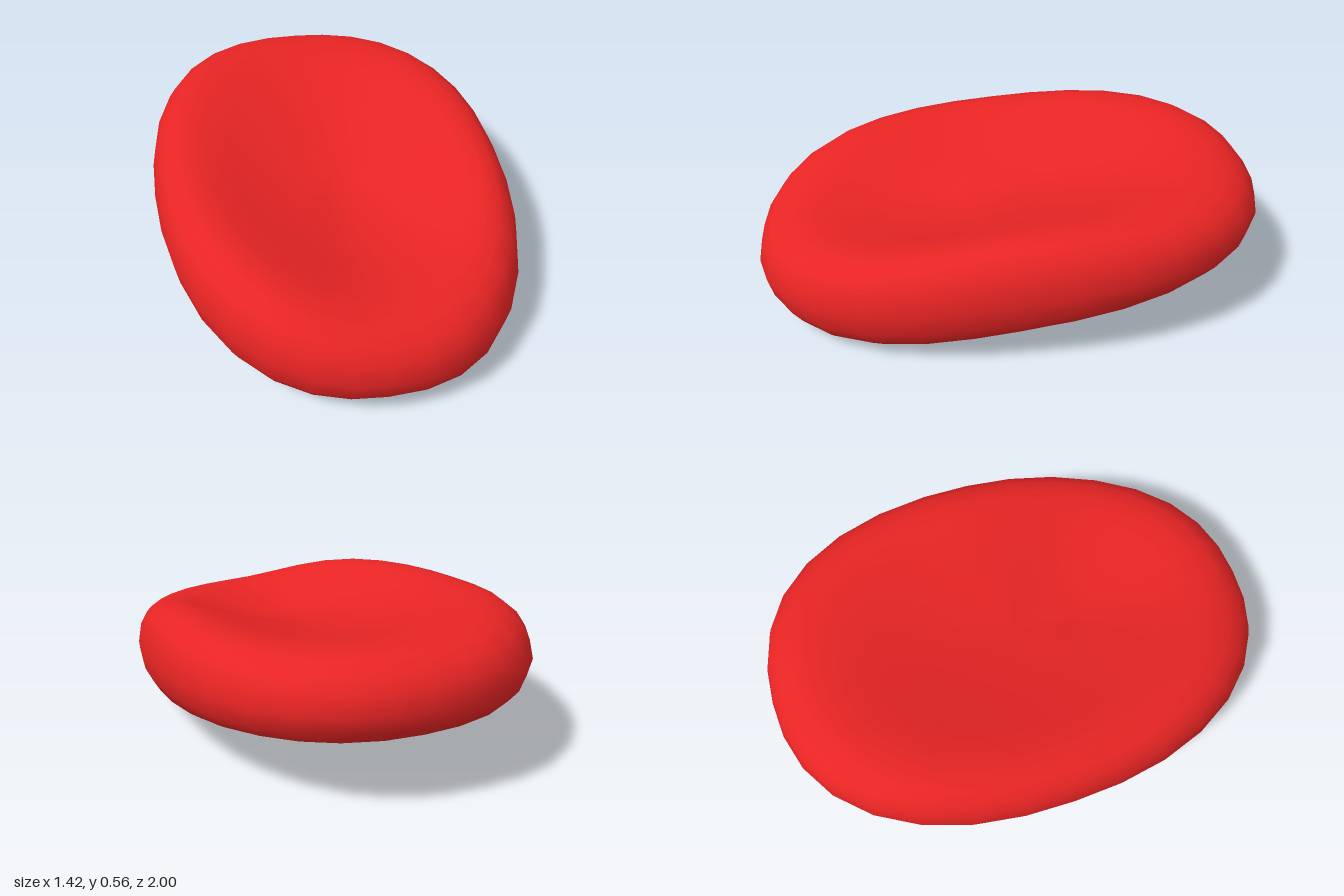
import * as THREE from 'three';
import { mergeVertices } from 'three/addons/utils/BufferGeometryUtils.js';

// Half profile of the biconcave disc: radius, share of the rim's half thickness
const PROFILE = [
  [0, 0.45], [0.2, 0.49], [0.4, 0.61], [0.57, 0.81], [0.7, 0.96], [0.8, 1],
  [0.88, 0.92], [0.94, 0.72], [0.98, 0.43], [1, 0],
];

// Rim every 45 degrees, from the front by way of +x: middle height, half thickness
const RIM = [
  [0.182, 0.17], [0.187, 0.187], [0.302, 0.19], [0.365, 0.155],
  [0.383, 0.155], [0.388, 0.165], [0.338, 0.167], [0.25, 0.203],
];
const CENTRE = { middle: 0.3, half: 0.17 };
const rimCurve = new THREE.CatmullRomCurve3(
  RIM.map(([middle, half]) => new THREE.Vector3(middle, half, 0)), true, 'catmullrom', 0.5);

// Factor that pushes a circle out to a slightly squarish oval (1 at the centre)
function squareness(x, z, r) {
  const n = 2.3;
  if (r < 1e-6) return 1;
  return Math.pow(Math.abs(x / r) ** n + Math.abs(z / r) ** n, -1 / n);
}

// Turns the round disc into a tilted, unevenly bent oval
function warp(position) {
  for (let i = 0; i < position.count; i++) {
    const px = position.getX(i), py = position.getY(i), pz = position.getZ(i);
    const r = Math.hypot(px, pz);
    const s = squareness(px, pz, r);
    const z = pz * s;
    const x = px * s * 0.71 * (1 - 0.03 * z) + 0.015 * z * z;
    // Blend from the centre out to the rim, levelling off at the edge
    const rim = rimCurve.getPoint((Math.atan2(px, pz) / (2 * Math.PI) + 1) % 1);
    const blend = Math.sin(1.8 * r);
    const middle = THREE.MathUtils.lerp(CENTRE.middle, rim.x, blend);
    const half = THREE.MathUtils.lerp(CENTRE.half, rim.y, blend);
    position.setXYZ(i, x, middle + py * half, z);
  }
}

export function createModel() {
  const group = new THREE.Group();
  group.name = 'bloodCell';

  // Mirror the half profile, from the bottom centre round the rim to the top centre
  const bottom = PROFILE.map(([r, h]) => new THREE.Vector2(r, -h));
  const top = PROFILE.slice(0, -1).reverse().map(([r, h]) => new THREE.Vector2(r, h));
  let geometry = new THREE.LatheGeometry([...bottom, ...top], 32);
  warp(geometry.attributes.position);

  // Weld the seam for smooth shading all round
  geometry.deleteAttribute('uv');
  geometry.deleteAttribute('normal');
  geometry = mergeVertices(geometry, 1e-4);
  geometry.computeVertexNormals();

  // Stand on the ground, centred
  geometry.computeBoundingBox();
  const box = geometry.boundingBox;
  const centre = box.getCenter(new THREE.Vector3());
  geometry.translate(-centre.x, -box.min.y, -centre.z);

  const disc = new THREE.Mesh(geometry, new THREE.MeshStandardMaterial({ color: 0xe82424 }));
  disc.name = 'biconcaveDisc';
  group.add(disc);
  return group;
}
